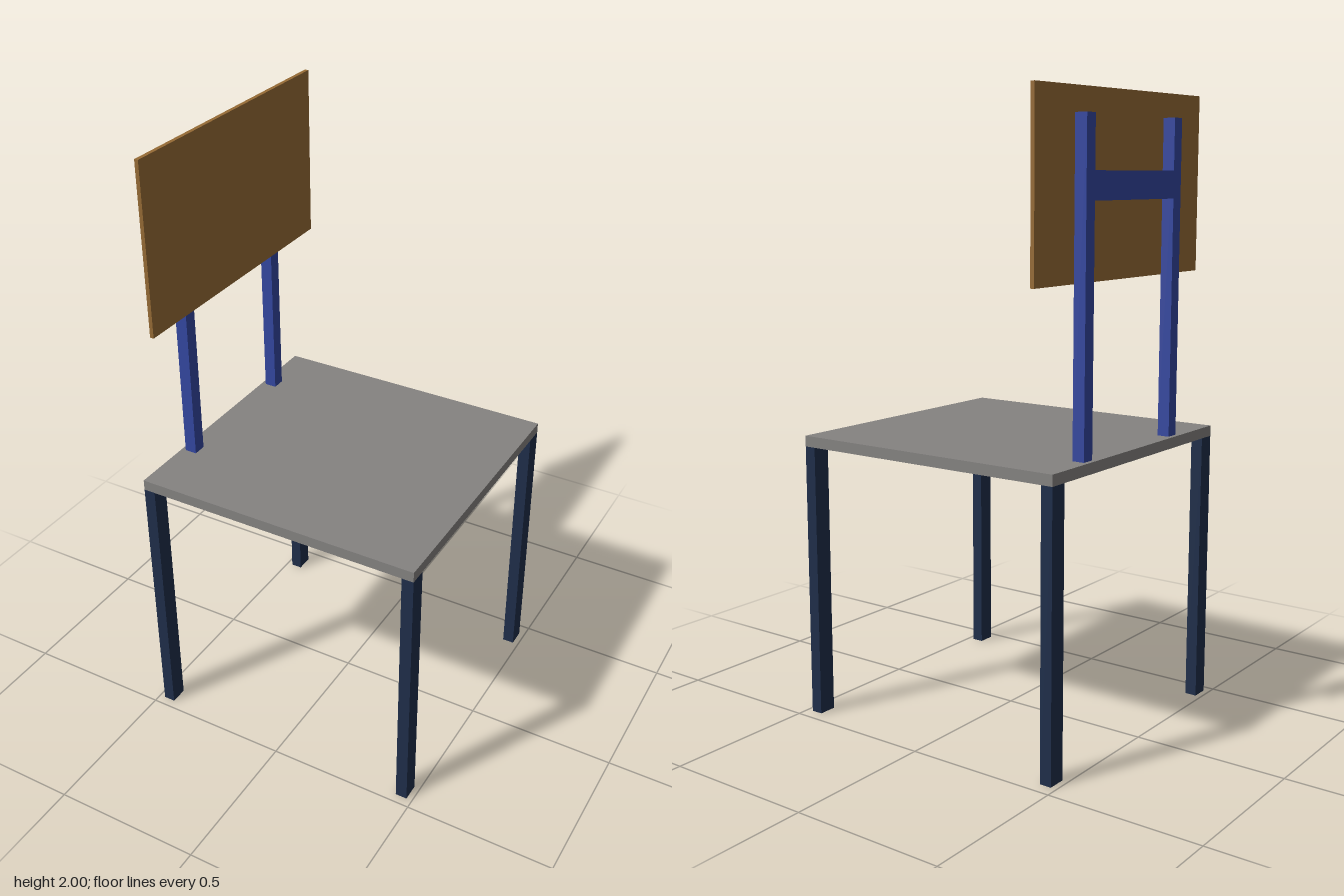
import * as THREE from 'three';

const paint = (name, color) => {
  const m = new THREE.MeshStandardMaterial({ color });
  m.name = name;
  return m;
};

export function createModel() {
  const chair = new THREE.Group();
  chair.name = 'chair';

  const grey = paint('seatGrey', 0x858381);
  const navy = paint('legNavy', 0x1f2e4a);
  const blue = paint('frameBlue', 0x3447a0);
  const brown = paint('panelBrown', 0x966b35);

  // Box given by its [min, max] range on each axis
  const addBox = (name, material, x, y, z) => {
    const size = [x, y, z].map(([a, b]) => b - a);
    const mesh = new THREE.Mesh(new THREE.BoxGeometry(...size), material);
    mesh.position.set(...[x, y, z].map(([a, b]) => (a + b) / 2));
    mesh.name = name;
    chair.add(mesh);
  };

  // Seat
  addBox('seat', grey, [-0.48, 0.48], [0.895, 0.93], [-0.457, 0.47]);

  // Legs at the four corners
  for (const [xName, x] of [['back', [-0.48, -0.441]], ['front', [0.441, 0.48]]]) {
    for (const [zName, z] of [['A', [-0.457, -0.397]], ['B', [0.412, 0.47]]]) {
      addBox(`${xName}Leg${zName}`, navy, x, [0, 0.895], z);
    }
  }

  // Backrest posts and the crossbar between them
  const frameX = [-0.465, -0.425];
  addBox('backPostA', blue, frameX, [0.93, 1.925], [-0.275, -0.231]);
  addBox('backPostB', blue, frameX, [0.93, 1.925], [0.216, 0.26]);
  addBox('crossbar', blue, frameX, [1.68, 1.765], [-0.231, 0.216]);

  // Backrest panel
  addBox('backPanel', brown, [-0.425, -0.412], [1.445, 2], [-0.471, 0.442]);

  return chair;
}
